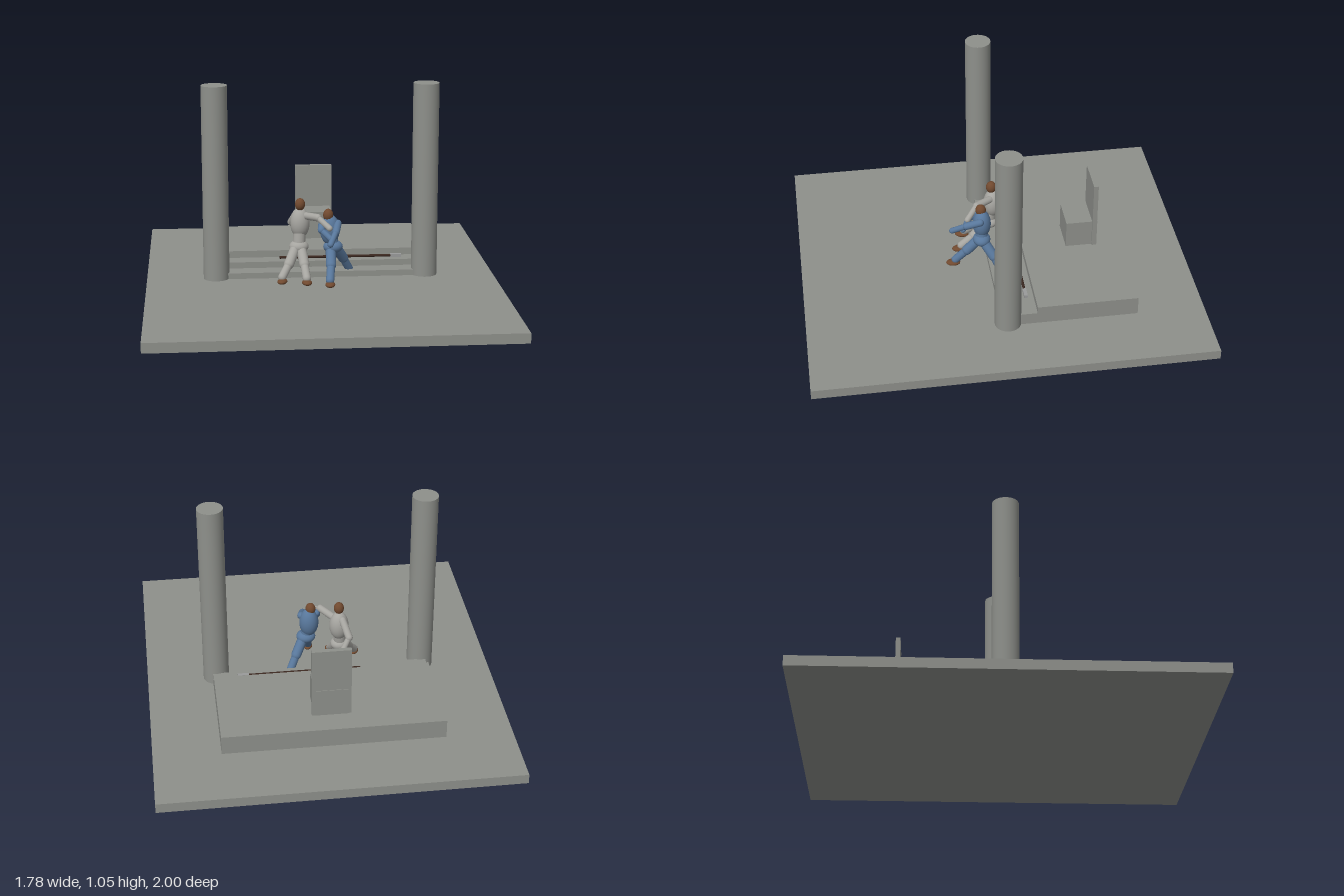
import * as THREE from 'three';

const mat = (name, color) => Object.assign(new THREE.MeshStandardMaterial({ color }), { name });

export function createModel() {
  const stone = mat('stone', 0x8e908b);
  const grey = mat('pale cloth', 0xa6a5a0);
  const blue = mat('blue cloth', 0x58779b);
  const skin = mat('brown skin', 0x70492f);
  const wood = mat('dark wood', 0x3b2820);
  const steel = mat('steel', 0x9a9b9b);
  const root = new THREE.Group();

  const add = (parent, name, geo, material, p = [0, 0, 0]) => {
    const m = new THREE.Mesh(geo, material);
    m.name = name;
    m.position.set(...p);
    parent.add(m);
    return m;
  };
  // Box given by its limits on each axis
  const block = (name, [x0, x1], [y0, y1], [z0, z1], material = stone) =>
    add(root, name, new THREE.BoxGeometry(x1 - x0, y1 - y0, z1 - z0), material,
      [(x0 + x1) / 2, (y0 + y1) / 2, (z0 + z1) / 2]);
  const ellipsoid = (parent, name, p, r, material) => {
    const m = add(parent, name, new THREE.SphereGeometry(1, 24, 16), material, p);
    m.scale.set(...r);
    return m;
  };
  // Rounded segment between two points
  const segment = (parent, name, a, b, r, material) => {
    const A = new THREE.Vector3(...a), B = new THREE.Vector3(...b);
    const d = B.clone().sub(A), len = d.length();
    const m = add(parent, name, new THREE.CapsuleGeometry(r, len, 6, 16), material);
    m.position.copy(A).add(B).multiplyScalar(0.5);
    m.quaternion.setFromUnitVectors(new THREE.Vector3(0, 1, 0), d.normalize());
  };

  // Floor, steps and raised platform
  block('floor', [-0.89, 0.89], [0, 0.05], [-1, 1]);
  block('lowerStep', [-0.555, 0.555], [0.05, 0.08], [-0.06, 0.03]);
  block('upperStep', [-0.555, 0.555], [0.05, 0.112], [-0.147, -0.06]);
  block('platform', [-0.555, 0.555], [0.05, 0.148], [-0.657, -0.147]);

  // Throne
  block('throneSeat', [-0.088, 0.088], [0.148, 0.293], [-0.373, -0.535]
    .sort((a, b) => a - b));
  block('throneBack', [-0.098, 0.098], [0.148, 0.52], [-0.532, -0.508]);

  // Columns
  for (const s of [-1, 1])
    add(root, s > 0 ? 'leftColumn' : 'rightColumn',
      new THREE.CylinderGeometry(0.066, 0.066, 1, 40), stone, [s * 0.535, 0.55, 0]);

  // Spear lying on the upper step
  const shaft = add(root, 'spearShaft', new THREE.CylinderGeometry(0.007, 0.007, 0.58, 12),
    wood, [0.085, 0.12, -0.108]);
  shaft.rotation.z = Math.PI / 2;
  block('spearHead', [0.373, 0.43], [0.112, 0.128], [-0.117, -0.099], steel);

  // A figure from its joints; each limb runs through three points
  const figure = (name, cloth, f) => {
    const g = new THREE.Group();
    g.name = name;
    root.add(g);
    ellipsoid(g, 'head', f.head, [0.026, 0.032, 0.027], skin);
    segment(g, 'neck', f.head, f.chest, 0.016, cloth);
    ellipsoid(g, 'torso', f.chest, [0.05, 0.079, 0.047], cloth);
    ellipsoid(g, 'hips', f.hips, [0.05, 0.034, 0.045], cloth);
    segment(g, 'waist', f.chest, f.hips, 0.032, cloth);
    for (const [a, b, c] of f.arms) {
      segment(g, 'upperArm', a, b, 0.019, cloth);
      segment(g, 'forearm', b, c, 0.015, cloth);
    }
    for (const [a, b, c, turn] of f.legs) {
      segment(g, 'thigh', a, b, 0.026, cloth);
      segment(g, 'shin', b, c, 0.021, cloth);
      const foot = ellipsoid(g, 'foot', [c[0], 0.064, c[2] + 0.012], [0.025, 0.014, 0.037], skin);
      foot.rotation.y = turn;
    }
  };

  figure('greyFigure', grey, {
    head: [-0.105, 0.428, -0.008],
    chest: [-0.105, 0.328, -0.015],
    hips: [-0.112, 0.208, 0],
    arms: [
      [[-0.075, 0.37, 0.005], [-0.02, 0.378, 0.08], [0.035, 0.335, 0.135]],
      [[-0.12, 0.375, -0.045], [-0.145, 0.31, -0.108], [-0.092, 0.22, -0.147]],
    ],
    legs: [
      [[-0.135, 0.195, 0.02], [-0.168, 0.135, 0.075], [-0.205, 0.082, 0.125], -0.25],
      [[-0.1, 0.195, 0.02], [-0.09, 0.135, 0.085], [-0.082, 0.082, 0.155], 0.1],
    ],
  });
  figure('blueFigure', blue, {
    head: [0.033, 0.388, 0.066],
    chest: [0.042, 0.31, 0.062],
    hips: [0.058, 0.222, 0.065],
    arms: [
      [[0.082, 0.345, 0.075], [0.066, 0.318, 0.145], [0.033, 0.272, 0.215]],
      [[0.002, 0.355, 0.075], [-0.005, 0.322, 0.115], [0.045, 0.28, 0.16]],
    ],
    legs: [
      [[0.045, 0.205, 0.085], [0.042, 0.145, 0.14], [0.032, 0.082, 0.2], -0.1],
      [[0.08, 0.205, 0.05], [0.115, 0.145, 0.01], [0.148, 0.08, -0.022], 0.3],
    ],
  });
  return root;
}
